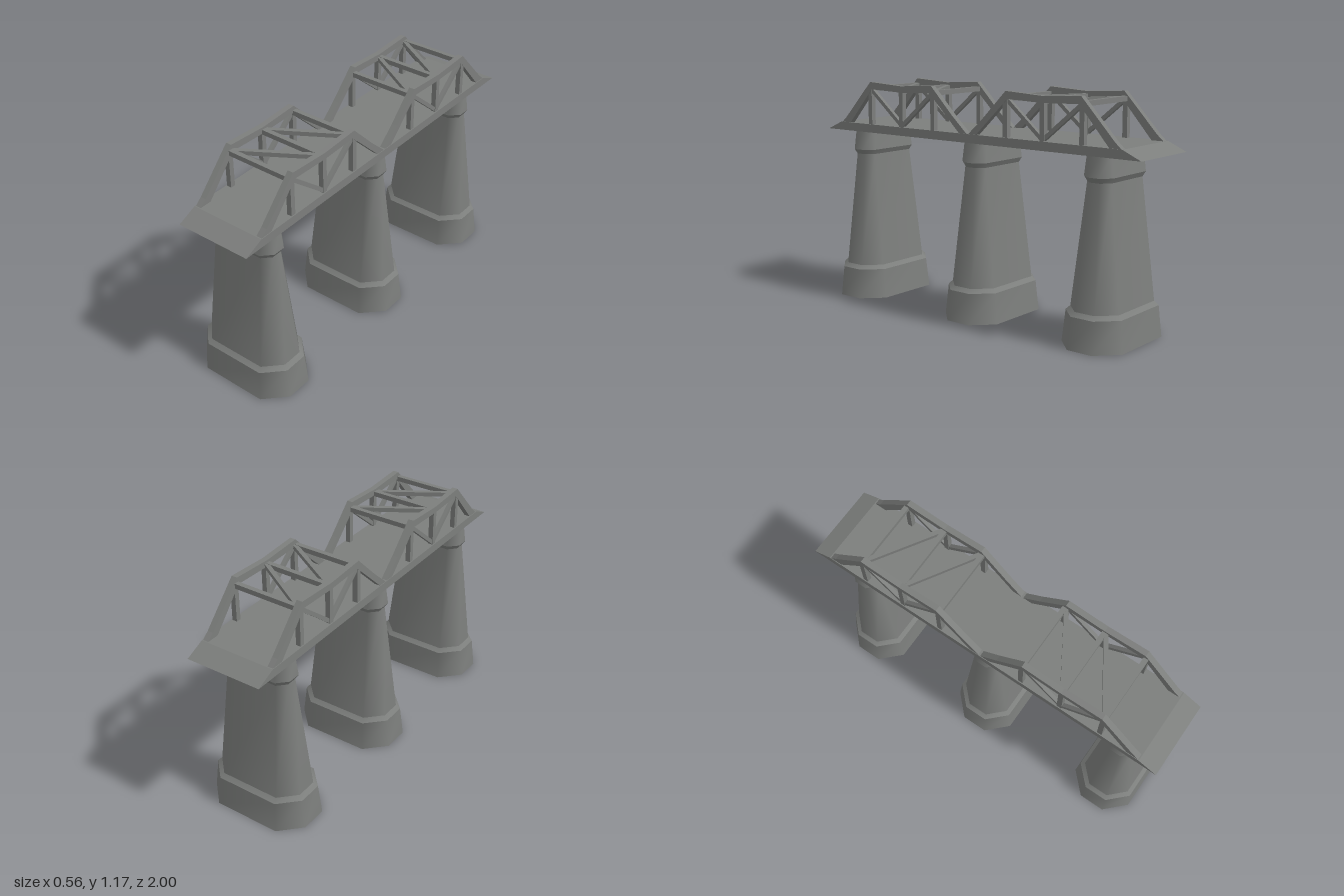
import * as THREE from 'three';

const stone = new THREE.MeshStandardMaterial({ color: 0x7c7e7c });
stone.name = 'grey';

// Square bar between two points
function bar(name, a, b, w, h = w) {
  const from = new THREE.Vector3(...a), to = new THREE.Vector3(...b);
  const mesh = new THREE.Mesh(new THREE.BoxGeometry(w, h, from.distanceTo(to)), stone);
  mesh.name = name;
  mesh.position.copy(from).lerp(to, 0.5);
  mesh.lookAt(to);
  return mesh;
}

// Outline in the (z, y) plane, extruded across x and centred on x
function sidePlate(name, points, width, x = 0) {
  const shape = new THREE.Shape(points.map(([z, y]) => new THREE.Vector2(z, y)));
  const geo = new THREE.ExtrudeGeometry(shape, { depth: width, bevelEnabled: false });
  geo.translate(0, 0, -width / 2).rotateY(-Math.PI / 2);
  const mesh = new THREE.Mesh(geo, stone);
  mesh.name = name;
  mesh.position.x = x;
  return mesh;
}

// Long octagon with chamfered corners, counter-clockwise seen from above
function octagon(hx, hz) {
  const c = hz * 0.6, x = hx - c, z = hz - c;
  return [[hx, z], [hx, -z], [x, -hz], [-x, -hz], [-hx, -z], [-hx, z], [-x, hz], [x, hz]];
}

// Tapered pier: smooth around, sharp between levels
function pierGeometry() {
  const levels = [ // y, half width in x, half depth in z
    [0, 0.278, 0.171], [0.157, 0.26, 0.156], [0.177, 0.239, 0.135],
    [0.78, 0.174, 0.067], [0.805, 0.19, 0.08], [0.908, 0.178, 0.068]
  ];
  const pos = [], index = [];
  const ring = ([y, hx, hz]) => {
    const start = pos.length / 3;
    octagon(hx, hz).forEach(([x, z]) => pos.push(x, y, z));
    return start;
  };
  for (let l = 0; l < levels.length - 1; l++) {
    const a = ring(levels[l]), b = ring(levels[l + 1]);
    for (let i = 0; i < 8; i++) {
      const j = (i + 1) % 8;
      index.push(a + i, a + j, b + j, a + i, b + j, b + i);
    }
  }
  const bottom = ring(levels[0]), top = ring(levels[levels.length - 1]);
  for (let i = 1; i < 7; i++) {
    index.push(bottom, bottom + i + 1, bottom + i, top, top + i, top + i + 1);
  }
  const geo = new THREE.BufferGeometry();
  geo.setAttribute('position', new THREE.Float32BufferAttribute(pos, 3));
  geo.setIndex(index);
  geo.computeVertexNormals();
  return geo;
}

// One span: two side trusses and the bracing overhead (s = +1 front, -1 back)
function createSpan(s) {
  const span = new THREE.Group();
  const posts = [0.68, 0.455, 0.235];
  const chord = [
    [0.9, 0.945], [0.86, 0.98], [0.675, 1.175], [0.455, 1.163], [0.24, 1.175], [0.1, 1.035], [0, 0.945],
    [0.05, 0.945], [0.25, 1.137], [0.455, 1.13], [0.665, 1.137], [0.835, 0.945]
  ].map(([z, y]) => [z * s, y]);

  for (const x of [-0.182, 0.182]) {
    span.add(sidePlate('trussChord', chord, 0.03, x));
    for (const z of posts) span.add(bar('trussPost', [x, 0.945, z * s], [x, 1.145, z * s], 0.026));
    for (const z of [posts[0], posts[2]]) {
      span.add(bar('trussDiagonal', [x, 1.14, z * s], [x, 0.955, posts[1] * s], 0.02));
    }
  }

  // Cross beams and zigzag bracing
  for (const z of posts) span.add(bar('crossBeam', [-0.17, 1.139, z * s], [0.17, 1.139, z * s], 0.025));
  for (let i = 0; i < 2; i++) {
    span.add(bar('crossBrace', [-0.165, 1.139, (posts[i] - 0.01) * s],
      [0.165, 1.139, (posts[i + 1] + 0.01) * s], 0.022));
  }
  return span;
}

export function createModel() {
  const model = new THREE.Group();
  model.name = 'trussBridge';

  // Piers
  const pierGeo = pierGeometry();
  for (const z of [0.78, 0, -0.74]) {
    const pier = new THREE.Mesh(pierGeo, stone);
    pier.name = 'pier';
    pier.position.z = z;
    model.add(pier);
  }

  // Deck with sloped ends
  model.add(sidePlate('deck', [[-1, 0.906], [1, 0.906], [0.9, 0.95], [-0.9, 0.95]], 0.4));

  // Spans
  for (const s of [1, -1]) {
    const span = createSpan(s);
    span.name = s > 0 ? 'frontSpan' : 'backSpan';
    model.add(span);
  }
  return model;
}
